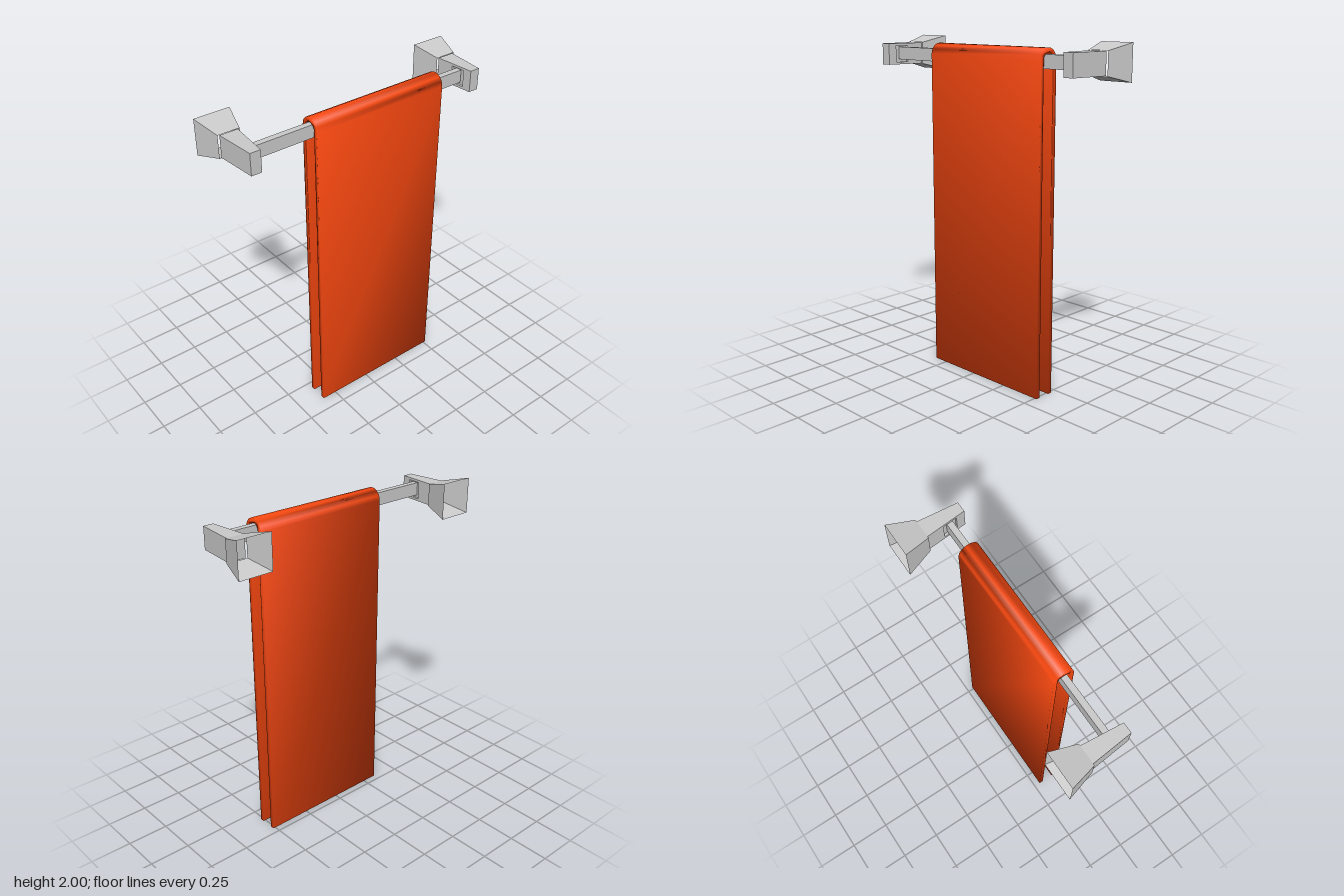
import * as THREE from 'three';
import { toCreasedNormals } from 'three/addons/utils/BufferGeometryUtils.js';

const grey = new THREE.MeshStandardMaterial({ color: 0xcccccc, flatShading: true });
const greyThin = new THREE.MeshStandardMaterial({ color: 0xcccccc, flatShading: true, side: THREE.DoubleSide });
const orange = new THREE.MeshStandardMaterial({ color: 0xff4a10 });

const RAIL_X = 0.102, MOUNT_Y = 1.892, MOUNT_Z = 0.73;

function part(name, geometry, material) {
  const mesh = new THREE.Mesh(geometry, material);
  mesh.name = name;
  return mesh;
}

// Moves every vertex of a geometry by a rule
function reshape(geometry, rule) {
  const p = geometry.attributes.position, v = new THREE.Vector3();
  for (let i = 0; i < p.count; i++) {
    rule(v.fromBufferAttribute(p, i));
    p.setXYZ(i, v.x, v.y, v.z);
  }
  geometry.computeVertexNormals();
  return geometry;
}

// Half width of the tapering arm at x
const armHalf = (x) => THREE.MathUtils.mapLinear(x, -0.04, 0.197, 0.053, 0.031);

function createBracket(name, side) {
  const bracket = new THREE.Group();
  bracket.name = name;

  // Hollow square flare, open towards the wall
  const ring = [[1, 1], [-1, 1], [-1, -1], [1, -1]];
  const pos = [];
  for (let i = 0; i < 4; i++) {
    const a = ring[i], b = ring[(i + 1) % 4];
    const wall = ([y, z]) => [-0.2, y * 0.105, z * 0.105];
    const neck = ([y, z]) => [-0.043, y * 0.066, z * 0.064];
    pos.push(...wall(a), ...neck(a), ...neck(b), ...wall(a), ...neck(b), ...wall(b));
  }
  const flare = new THREE.BufferGeometry();
  flare.setAttribute('position', new THREE.Float32BufferAttribute(pos, 3));
  flare.computeVertexNormals();
  bracket.add(part('wallFlare', flare, greyThin));

  // Solid outer body of the arm; z runs from the recess floor to the outer side
  const box = new THREE.BoxGeometry(0.24, 0.128, 1).translate(0.077, 0, 0);
  bracket.add(part('arm', reshape(box, (v) => {
    v.z = side * v.z > 0 ? side * armHalf(v.x) : -side * (armHalf(v.x) - 0.015);
  }), grey));

  // Inner side of the arm with the socket that takes the rail
  const face = new THREE.Shape([[-0.043, -0.064], [0.197, -0.064], [0.197, 0.064], [-0.043, 0.064]]
    .map(([x, y]) => new THREE.Vector2(x, y)));
  face.holes.push(new THREE.Path([[0.06, -0.05], [0.06, 0.05], [0.145, 0.05], [0.145, -0.05]]
    .map(([x, y]) => new THREE.Vector2(x, y))));
  const frame = new THREE.ExtrudeGeometry(face, { depth: 1, bevelEnabled: false });
  bracket.add(part('railSocket', reshape(frame, (v) => {
    const outer = side > 0 ? v.z > 0.5 : v.z < 0.5;
    v.z = -side * (armHalf(v.x) - (outer ? 0.015 : 0));
  }), grey));

  bracket.position.set(0, MOUNT_Y, side * MOUNT_Z);
  return bracket;
}

function createTowel() {
  // Inverted U profile draped over the rail
  const outerR = 0.0625, innerR = 0.037, topY = 1.908, steps = 7;
  const arc = (r) => Array.from({ length: steps + 1 }, (_, i) => {
    const a = Math.PI * i / steps;
    return new THREE.Vector2(RAIL_X + r * Math.cos(a), topY + r * Math.sin(a));
  });
  const points = [
    new THREE.Vector2(RAIL_X + outerR, 0), ...arc(outerR), new THREE.Vector2(RAIL_X - outerR, 0),
    new THREE.Vector2(RAIL_X - innerR, 0), ...arc(innerR).reverse(), new THREE.Vector2(RAIL_X + innerR, 0),
  ];
  const geo = new THREE.ExtrudeGeometry(new THREE.Shape(points), { depth: 0.857, bevelEnabled: false });
  geo.translate(0, 0, -0.515);
  return part('towel', toCreasedNormals(geo, Math.PI), orange);
}

export function createModel() {
  const model = new THREE.Group();
  model.name = 'towelRail';
  model.add(createBracket('leftBracket', 1), createBracket('rightBracket', -1));

  const rail = part('rail', new THREE.BoxGeometry(0.036, 0.076, 1.4), grey);
  rail.position.set(RAIL_X, 1.897, 0);
  model.add(rail, createTowel());
  return model;
}
